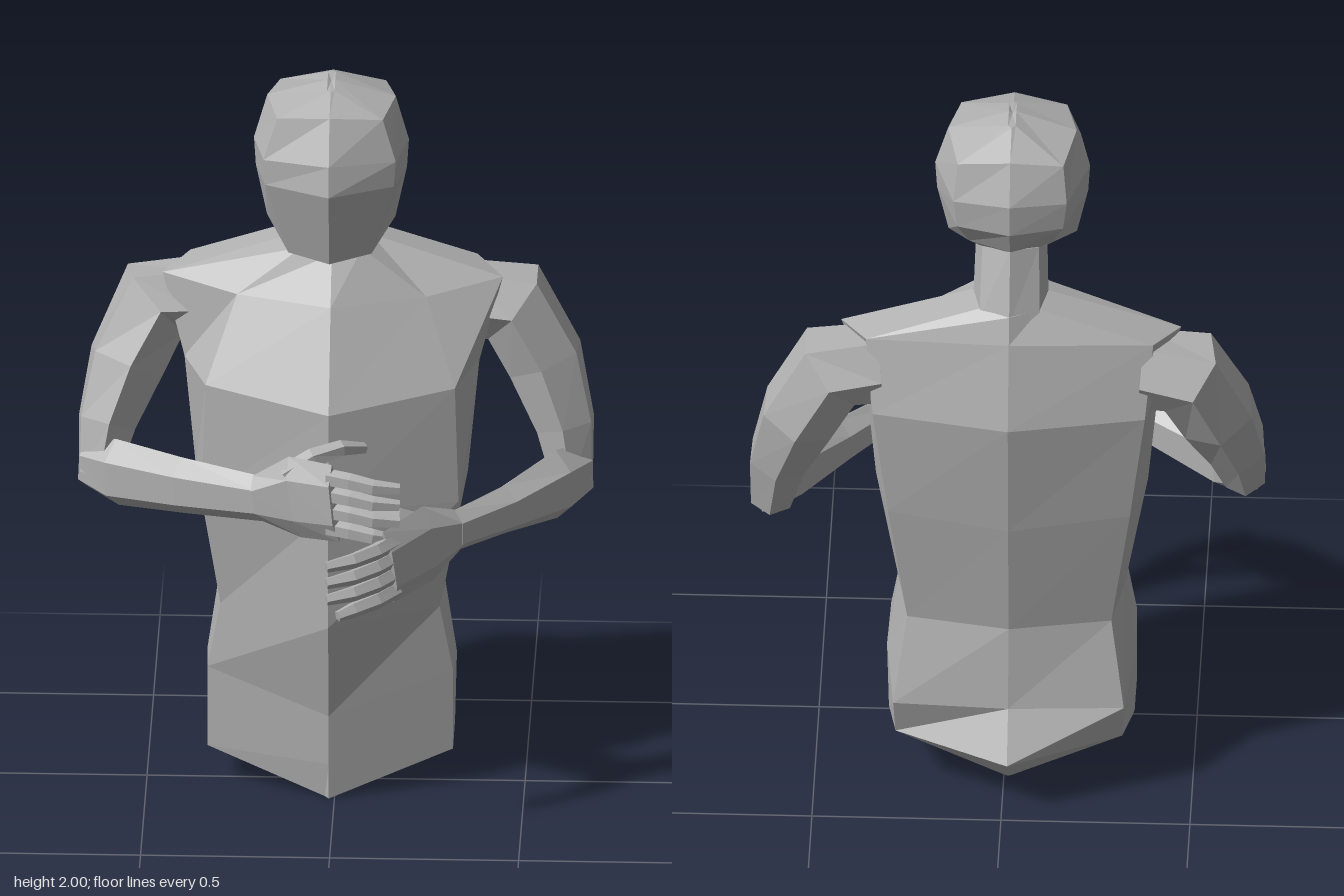
import * as THREE from 'three';

const skin = new THREE.MeshStandardMaterial({ color: 0xb2b2b2, flatShading: true });
skin.name = 'plain grey';

// Skins a stack of closed rings and caps both ends with fans
function loft(name, rings) {
  const pos = [];
  const tri = (...p) => p.forEach((v) => pos.push(v.x, v.y, v.z));
  const n = rings[0].length;
  for (let i = 0; i < rings.length - 1; i++) {
    for (let j = 0; j < n; j++) {
      const k = (j + 1) % n;
      const [a, b, c, d] = [rings[i][j], rings[i][k], rings[i + 1][k], rings[i + 1][j]];
      tri(a, b, c);
      tri(a, c, d);
    }
  }
  const cap = (ring, flip) => {
    const mid = ring.reduce((s, p) => s.add(p), new THREE.Vector3()).divideScalar(n);
    ring.forEach((p, j) => {
      const q = ring[(j + 1) % n];
      flip ? tri(mid, q, p) : tri(mid, p, q);
    });
  };
  cap(rings[0], true);
  cap(rings[rings.length - 1], false);
  const geo = new THREE.BufferGeometry();
  geo.setAttribute('position', new THREE.Float32BufferAttribute(pos, 3));
  geo.computeVertexNormals();
  const mesh = new THREE.Mesh(geo, skin);
  mesh.name = name;
  return mesh;
}

// Half ring from front centre to back centre, mirrored about the body's midline
function mirrored(half) {
  const MID = -0.015;
  const left = half.map(([x, y, z]) => new THREE.Vector3(MID + x, y, z));
  const right = half.slice(1, -1).reverse().map(([x, y, z]) => new THREE.Vector3(MID - x, y, z));
  return [...left, ...right];
}

// Faceted limb; each section is [x, y, z, half width, half height]
function limb(name, sections, sides = 6, ref = new THREE.Vector3(0, 1, 0)) {
  const pts = sections.map((s) => new THREE.Vector3(s[0], s[1], s[2]));
  const rings = sections.map(([, , , w, h], i) => {
    const t = pts[Math.min(i + 1, pts.length - 1)].clone().sub(pts[Math.max(i - 1, 0)]).normalize();
    const right = t.clone().cross(ref).normalize();
    const up = right.clone().cross(t);
    return Array.from({ length: sides }, (_, j) => {
      const a = ((j + 0.5) / sides) * Math.PI * 2;
      return pts[i].clone().addScaledVector(right, w * Math.cos(a)).addScaledVector(up, -h * Math.sin(a));
    });
  });
  return loft(name, rings);
}

// Torso rings, bottom to top
const TORSO = [
  [[0, 0, 0.13], [0.01, 0.002, 0.12], [0.01, 0.02, -0.15], [0.01, 0.07, -0.39], [0, 0.07, -0.395]],
  [[0, 0.1, 0.13], [0.325, 0.1, 0.02], [0.325, 0.11, -0.14], [0.3, 0.17, -0.34], [0, 0.16, -0.48]],
  [[0, 0.24, 0.13], [0.325, 0.33, 0.02], [0.33, 0.31, -0.14], [0.305, 0.28, -0.37], [0, 0.29, -0.4]],
  [[0, 0.52, 0.18], [0.29, 0.52, 0.03], [0.3, 0.52, -0.13], [0.27, 0.52, -0.31], [0, 0.52, -0.36]],
  [[0, 0.85, 0.165], [0.34, 0.83, 0.04], [0.36, 0.85, -0.12], [0.32, 0.88, -0.34], [0, 0.86, -0.395]],
  [[0, 1.12, 0.14], [0.33, 1.15, 0.02], [0.39, 1.17, -0.12], [0.36, 1.2, -0.35], [0, 1.2, -0.42]],
  [[0, 1.365, -0.01], [0.25, 1.365, -0.09], [0.45, 1.385, -0.18], [0.38, 1.4, -0.29], [0, 1.43, -0.35]],
  [[0, 1.48, -0.1], [0.08, 1.49, -0.12], [0.1, 1.5, -0.19], [0.08, 1.5, -0.28], [0, 1.5, -0.32]],
];

// Neck and head rings, bottom to top
const NECK = [
  [[0, 1.46, -0.11], [0.08, 1.46, -0.12], [0.1, 1.47, -0.2], [0.08, 1.48, -0.29], [0, 1.48, -0.325]],
  [[0, 1.58, -0.07], [0.07, 1.58, -0.08], [0.095, 1.62, -0.15], [0.075, 1.66, -0.22], [0, 1.67, -0.255]],
];
const HEAD = [
  [[0, 1.56, -0.05], [0.06, 1.56, -0.06], [0.09, 1.61, -0.14], [0.07, 1.65, -0.21], [0, 1.66, -0.24]],
  [[0, 1.54, 0.09], [0.11, 1.55, 0.04], [0.17, 1.61, -0.07], [0.11, 1.67, -0.21], [0, 1.67, -0.26]],
  [[0, 1.76, 0.15], [0.17, 1.76, 0.07], [0.2, 1.75, -0.08], [0.14, 1.75, -0.26], [0, 1.75, -0.3]],
  [[0, 1.84, 0.13], [0.175, 1.83, 0.065], [0.205, 1.83, -0.08], [0.15, 1.83, -0.26], [0, 1.84, -0.3]],
  [[0, 1.955, 0.07], [0.14, 1.94, 0.04], [0.17, 1.95, -0.09], [0.14, 1.93, -0.23], [0, 1.95, -0.25]],
  [[0, 1.99, -0.02], [0.01, 1.99, -0.03], [0.01, 2, -0.08], [0.01, 1.995, -0.14], [0, 1.995, -0.15]],
];

export function createModel() {
  const model = new THREE.Group();
  model.name = 'bust';
  model.add(loft('torso', TORSO.map(mirrored)));
  model.add(loft('neck', NECK.map(mirrored)));
  model.add(loft('head', HEAD.map(mirrored)));

  const forward = new THREE.Vector3(0, 0, 1);

  // Left arm, held lower
  const left = new THREE.Group();
  left.name = 'leftArm';
  left.add(limb('leftUpperArm', [
    [0.33, 1.29, -0.24, 0.11, 0.1], [0.46, 1.28, -0.25, 0.12, 0.12], [0.545, 1.12, -0.24, 0.11, 0.115],
    [0.6, 0.95, -0.2, 0.085, 0.09], [0.62, 0.8, -0.17, 0.06, 0.07],
  ], 6, forward));
  left.add(limb('leftForearm', [
    [0.64, 0.83, -0.17, 0.05, 0.08], [0.58, 0.825, -0.09, 0.06, 0.1], [0.45, 0.82, 0.06, 0.05, 0.07],
    [0.32, 0.82, 0.2, 0.035, 0.06],
  ]));
  left.add(limb('leftPalm', [
    [0.33, 0.82, 0.19, 0.035, 0.06], [0.25, 0.805, 0.25, 0.035, 0.115], [0.15, 0.78, 0.35, 0.028, 0.11],
  ]));
  for (let i = 0; i < 4; i++) {
    const y = 0.85 - i * 0.048;
    const reach = i === 3 ? 0.03 : 0;
    left.add(limb('leftFinger', [
      [0.17, y, 0.33, 0.022, 0.025], [0.12, y - 0.005, 0.39, 0.022, 0.024],
      [0.06, y - 0.012, 0.435, 0.02, 0.022], [-0.01 + reach, y - 0.02, 0.46, 0.014, 0.016],
    ], 5));
  }
  left.add(limb('leftThumb', [
    [0.25, 0.85, 0.24, 0.03, 0.035], [0.17, 0.89, 0.265, 0.027, 0.028],
    [0.09, 0.9, 0.27, 0.022, 0.024], [0.02, 0.9, 0.265, 0.016, 0.018],
  ], 5));
  model.add(left);

  // Right arm, crossing above the left hand
  const right = new THREE.Group();
  right.name = 'rightArm';
  right.add(limb('rightUpperArm', [
    [-0.36, 1.29, -0.24, 0.11, 0.1], [-0.485, 1.28, -0.24, 0.12, 0.12], [-0.56, 1.12, -0.19, 0.11, 0.115],
    [-0.61, 0.97, -0.13, 0.085, 0.095], [-0.63, 0.84, -0.08, 0.06, 0.07],
  ], 6, forward));
  right.add(limb('rightForearm', [
    [-0.66, 0.87, -0.09, 0.05, 0.07], [-0.58, 0.865, -0.04, 0.065, 0.095], [-0.4, 0.885, 0.08, 0.055, 0.08],
    [-0.19, 0.91, 0.21, 0.035, 0.065],
  ]));
  right.add(limb('rightPalm', [
    [-0.2, 0.91, 0.21, 0.035, 0.065], [-0.1, 0.935, 0.25, 0.035, 0.115], [0.01, 0.95, 0.32, 0.028, 0.11],
  ]));
  for (let i = 0; i < 4; i++) {
    const y = 1.02 - i * 0.048;
    const reach = i === 3 ? -0.03 : 0;
    right.add(limb('rightFinger', [
      [-0.01, y, 0.31, 0.022, 0.025], [0.05, y, 0.335, 0.022, 0.024],
      [0.11, y - 0.008, 0.35, 0.02, 0.022], [0.18 + reach, y - 0.015, 0.345, 0.014, 0.016],
    ], 5));
  }
  right.add(limb('rightThumb', [
    [-0.12, 0.99, 0.24, 0.03, 0.035], [-0.05, 1.045, 0.24, 0.027, 0.028],
    [0.02, 1.06, 0.21, 0.024, 0.022], [0.08, 1.04, 0.165, 0.016, 0.016],
  ], 5));
  model.add(right);

  return model;
}
